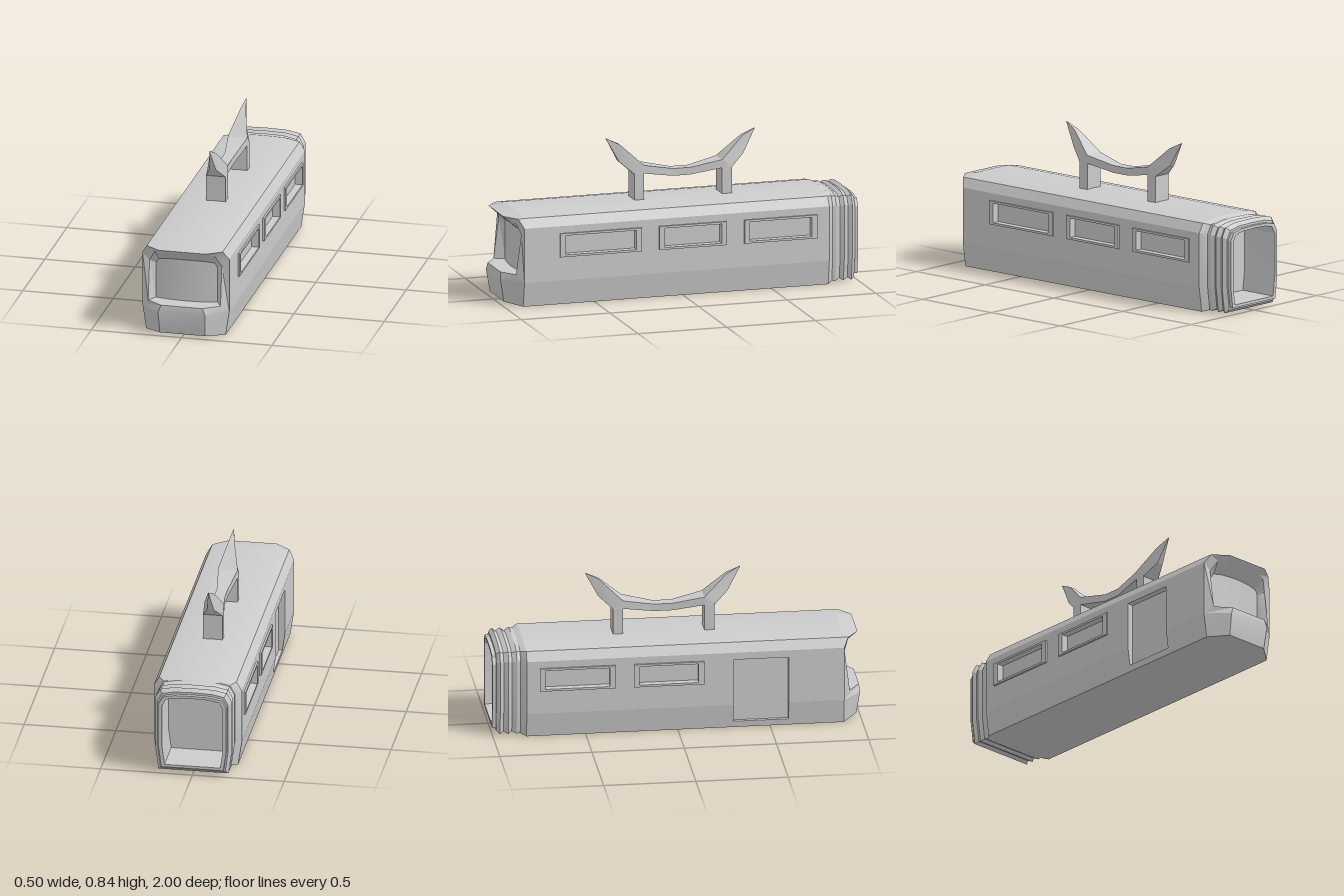
import * as THREE from 'three';
import { toCreasedNormals } from 'three/addons/utils/BufferGeometryUtils.js';

const mat = new THREE.MeshStandardMaterial({ color: 0xcccccc, side: THREE.DoubleSide });
const REAR = -0.82, FRONT = 0.9;
const windows = [[0.24, 0.7], [-0.24, 0.14], [-0.75, -0.34]];
const door = [0.3, 0.6, 0.04, 0.4];

// Half width of the car body: the sides taper in below the knee
const halfWidth = (y) => (y >= 0.14 ? 0.24 : 0.22 + (0.02 * (y - 0.005)) / 0.135);

// Half line from centre to side, completed to run from -x to +x
const mirror = (half) => [
  ...half.filter((p) => p[0] > 0).reverse().map(([x, y, z]) => [-x, y, z]),
  ...half,
];

// Surface through a series of equally long point rows
function loft(rows, closed = false) {
  const pos = [];
  for (let r = 0; r + 1 < rows.length; r++) {
    const a = rows[r], b = rows[r + 1], n = a.length;
    for (let i = 0; i < (closed ? n : n - 1); i++) {
      const j = (i + 1) % n;
      pos.push(...a[i], ...a[j], ...b[j], ...a[i], ...b[j], ...b[i]);
    }
  }
  const g = new THREE.BufferGeometry();
  g.setAttribute('position', new THREE.Float32BufferAttribute(pos, 3));
  return toCreasedNormals(g, 0.35);
}

const polygon = (side, pts) => pts.map(([z, y]) => new THREE.Vector2(-side * z, y));
const rect = (z0, z1, y0, y1) => [[z0, y0], [z1, y0], [z1, y1], [z0, y1]];

export function createModel() {
  const group = new THREE.Group();
  const add = (name, geometry) => {
    const mesh = new THREE.Mesh(geometry, mat);
    mesh.name = name;
    group.add(mesh);
    return mesh;
  };

  // Roof and floor
  const roofRow = (z) => mirror([[0, 0.508, z], [0.13, 0.505, z], [0.21, 0.49, z], [0.24, 0.44, z]]);
  const floorRow = (z) => mirror([[0, 0.005, z], [0.125, 0.005, z], [0.22, 0.005, z]]);
  add('roof', loft([roofRow(FRONT), roofRow(REAR)]));
  add('floor', loft([floorRow(REAR), floorRow(FRONT)]));

  // Bumper, wrapping the chamfered nose up to the windscreen sill
  const glassZ = (x) => 0.9 - 0.7 * x * x;
  add('bumper', loft([
    floorRow(FRONT),
    mirror([[0, 0.018, 0.98], [0.125, 0.018, 0.98], [0.22, 0.005, FRONT]]),
    mirror([[0, 0.14, 1], [0.13, 0.14, 1], [0.24, 0.14, FRONT]]),
    mirror([[0, 0.18, 0.995], [0.115, 0.18, 0.995], [0.2, 0.18, 0.935]]),
    mirror([0, 0.1, 0.17].map((x) => [x, 0.18, glassZ(x)])),
  ]));

  // Visor top
  add('visor', loft([
    mirror([[0, 0.49, 0.985], [0.13, 0.49, 0.985], [0.21, 0.488, 0.925], [0.24, 0.44, FRONT]]),
    roofRow(FRONT),
  ]));

  // Windscreen surround: recess, pillars and visor underside
  const glassTop = [[0, 0.415], [0.1, 0.412], [0.155, 0.405], [0.17, 0.38], [0.17, 0.18]];
  add('windscreenSurround', loft([
    mirror(glassTop.map(([x, y]) => [x, y, glassZ(x)])),
    mirror([[0, 0.462, 0.96], [0.11, 0.462, 0.955], [0.165, 0.462, 0.93], [0.2, 0.4, 0.905], [0.2, 0.18, 0.935]]),
    mirror([[0, 0.49, 0.985], [0.13, 0.49, 0.985], [0.21, 0.488, 0.925], [0.24, 0.44, FRONT], [0.24, 0.14, FRONT]]),
  ]));
  const glass = [[0, 0.415], [0.05, 0.4135], [0.1, 0.412], [0.155, 0.405], [0.17, 0.38]];
  add('windscreen', loft([
    mirror(glass.map(([x]) => [x, 0.18, glassZ(x)])),
    mirror(glass.map(([x, y]) => [x, y, glassZ(x)])),
  ]));

  // Rear connector: tunnel back wall, tunnel, end frame, then the bellows folds
  const half = [[0.22, 0.005], [0.24, 0.14], [0.24, 0.44], [0.21, 0.49], [0.13, 0.505]];
  const section = [...half, [0, 0.508], ...half.map(([x, y]) => [-x, y]).reverse()];
  const ring = ([z, sx, sy]) => section.map(([x, y]) => [x * sx, 0.2565 + (y - 0.2565) * sy, z]);
  add('bellows', loft([
    [-0.78, 0, 0], [-0.78, 0.69, 0.79], [-1, 0.69, 0.79], [-1, 0.77, 0.85], [-0.98, 0.77, 0.85],
    [-0.98, 0.8, 0.9], [-0.96, 0.87, 0.97], [-0.94, 0.82, 0.92], [-0.915, 0.87, 0.97],
    [-0.895, 0.82, 0.92], [-0.87, 0.87, 0.97], [-0.85, 0.86, 0.96], [-0.835, 0.93, 0.985], [REAR, 1, 1],
  ].map(ring), true));

  // Open box facing outwards, its mouth following the body side
  function recess(name, side, [z0, z1, y0, y1], inner, outer, rows) {
    const g = new THREE.BoxGeometry(outer - inner, y1 - y0, z1 - z0, 1, rows, 1);
    g.translate(side * (inner + outer) / 2, (y0 + y1) / 2, (z0 + z1) / 2);
    const mouth = side > 0 ? 0 : 1;
    const { start, count } = g.groups[mouth];
    const index = [...g.index.array];
    index.splice(start, count);
    g.setIndex(index.reverse());
    g.clearGroups();
    const p = g.attributes.position, n = g.attributes.normal;
    for (let i = 0; i < p.count; i++) {
      if (Math.abs(p.getX(i)) > outer - 0.001) p.setX(i, side * (outer - 0.24 + halfWidth(p.getY(i))));
      n.setXYZ(i, -n.getX(i), -n.getY(i), -n.getZ(i));
    }
    add(name, g);
  }

  // Sides with window openings; the door is on the right side only
  for (const side of [1, -1]) {
    const label = side > 0 ? 'left' : 'right';
    const [d0, d1, dy0, dy1] = door;
    const hasDoor = side < 0;
    const panes = hasDoor ? windows.slice(1) : windows;
    const upper = new THREE.Shape(polygon(side, [
      [REAR, 0.14], ...(hasDoor ? [[d0, 0.14], [d0, dy1], [d1, dy1], [d1, 0.14]] : []),
      [FRONT, 0.14], [FRONT, 0.44], [REAR, 0.44],
    ]));
    const lower = new THREE.Shape(polygon(side, [
      [REAR, 0.005], [FRONT, 0.005], [FRONT, 0.14],
      ...(hasDoor ? [[d1, 0.14], [d1, dy0], [d0, dy0], [d0, 0.14]] : []), [REAR, 0.14],
    ]));

    for (const [z0, z1] of panes) {
      const opening = [z0 + 0.03, z1 - 0.03, 0.282, 0.388];
      const hole = () => new THREE.Path(polygon(side, rect(...opening)));
      upper.holes.push(hole());
      const frame = new THREE.Shape(polygon(side, rect(z0, z1, 0.27, 0.4)));
      frame.holes.push(hole());
      const g = new THREE.ExtrudeGeometry(frame, { depth: 0.01, bevelEnabled: false });
      add(label + 'WindowFrame', g.translate(0, 0, 0.24).rotateY(side * Math.PI / 2));
      recess(label + 'WindowRecess', side, opening, 0.21, 0.25, 1);
    }
    if (hasDoor) recess('doorRecess', side, door, 0.205, 0.24, 18);

    for (const [name, shape] of [['UpperSide', upper], ['LowerSide', lower]]) {
      const g = new THREE.ShapeGeometry(shape);
      const p = g.attributes.position;
      for (let i = 0; i < p.count; i++) p.setZ(i, halfWidth(p.getY(i)));
      g.computeVertexNormals();
      add(label + name, g.rotateY(side * Math.PI / 2));
    }
  }

  // Horned roof bow: top and bottom distance from its middle, height, half width
  const bow = [
    [0.05, 0.66, 0.03, 0.05, 0.62, 0.03],
    [0.22, 0.695, 0.053, 0.22, 0.65, 0.053],
    [0.225, 0.7, 0.053, 0.275, 0.65, 0.053],
    [0.345, 0.81, 0.015, 0.35, 0.715, 0.018],
    [0.42, 0.847, 0.001, 0.42, 0.844, 0.001],
  ];
  const mid = -0.055;
  const bowRing = (s) => ([td, ty, tw, bd, by, bw]) => [
    [bw, by, mid + s * bd], [tw, ty, mid + s * td], [-tw, ty, mid + s * td], [-bw, by, mid + s * bd],
  ];
  add('roofBow', loft([...[...bow].reverse().map(bowRing(-1)), ...bow.map(bowRing(1))], true));
  for (const s of [1, -1]) {
    add('bowPost', new THREE.BoxGeometry(0.106, 0.155, 0.055).translate(0, 0.5775, mid + s * 0.2475));
  }

  return group;
}
